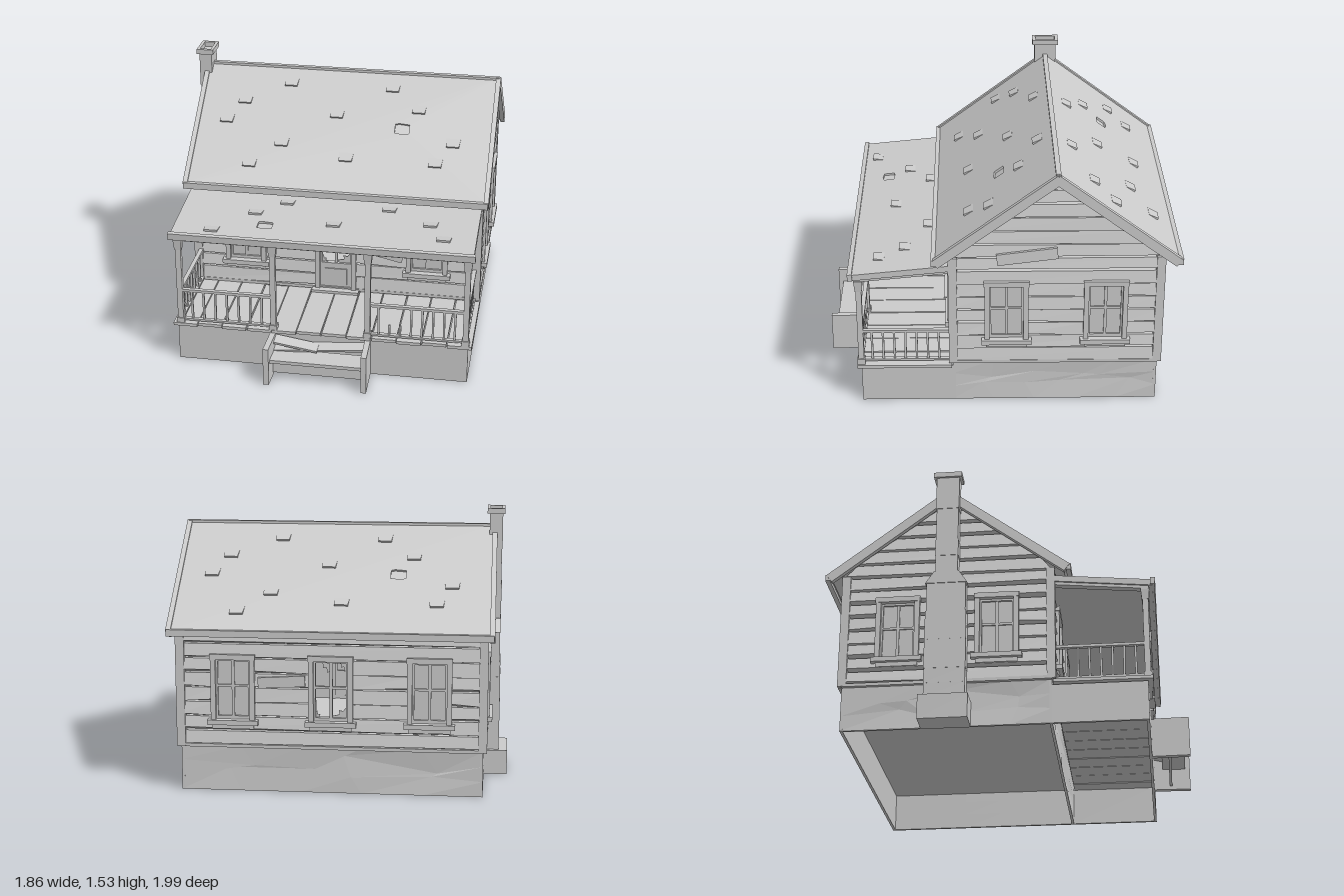
import * as THREE from 'three';

const grey = new THREE.MeshStandardMaterial({ color: 0xcccccc, flatShading: true });
const CX = 0.03, CZ = -0.31, W = 0.835, D = 0.575; // house centre and half sizes
const ROW = 0.082, BASE = 0.26;

let seed = 7;
const rnd = () => (seed = (seed * 16807) % 2147483647) / 2147483647;

function add(parent, name, geo) {
  const m = new THREE.Mesh(geo, grey);
  m.name = name;
  parent.add(m);
  return m;
}
function group(parent, name, x = 0, y = 0, z = 0) {
  const g = new THREE.Group();
  g.name = name;
  g.position.set(x, y, z);
  parent.add(g);
  return g;
}
// Box given by its limits on each axis
function box(parent, name, x0, x1, y0, y1, z0, z1) {
  const m = add(parent, name, new THREE.BoxGeometry(x1 - x0, y1 - y0, z1 - z0));
  m.position.set((x0 + x1) / 2, (y0 + y1) / 2, (z0 + z1) / 2);
  return m;
}
// Box whose vertices are moved by a rule
function shaped(parent, name, rule, segs = [1, 1, 1]) {
  const geo = new THREE.BoxGeometry(2, 2, 2, ...segs), p = geo.attributes.position;
  for (let i = 0; i < p.count; i++) p.setXYZ(i, ...rule(p.getX(i), p.getY(i), p.getZ(i)));
  geo.computeVertexNormals();
  return add(parent, name, geo);
}
const points = list => list.map(q => new THREE.Vector2(...q));

// Weathered clapboard with sloping underside; half(y) limits its ends
function clapboard(wall, u0, u1, y0, y1, half) {
  const lift = [0.003 + rnd() * 0.02, 0.003 + rnd() * 0.02];
  shaped(wall, 'clapboard', (x, y, z) => {
    const v = y > 0 ? y1 : y0 + (z > 0 ? lift[x > 0 ? 1 : 0] : 0);
    const h = half(y > 0 ? y1 : y0);
    const u = Math.max(-h, Math.min(h, x > 0 ? u1 : u0));
    return [u, v, z < 0 ? -0.03 : y > 0 ? 0.004 : 0.018];
  });
}

// Rows of boards, interrupted by openings {u, door}
function siding(wall, rows, half, top, openings) {
  for (let r = 0; r < rows; r++) {
    const y0 = BASE + r * ROW, y1 = Math.min(y0 + ROW, top);
    let start = -half(y0);
    for (const o of openings) {
      if (r > 5 || (r < 2 && !o.door)) continue;
      clapboard(wall, start, o.u - 0.1, y0, y1, half);
      start = o.u + 0.1;
    }
    clapboard(wall, start, half(y0), y0, y1, half);
  }
}

// Jagged leftovers of glass: [x, y, angle, scale] around the opening
function shards(parent, w, y0, y1) {
  const outline = points([[0, 0], [0.07, 0], [0.045, 0.02], [0.05, 0.045], [0.025, 0.04], [0.015, 0.085], [0, 0.07]]);
  const geo = new THREE.ExtrudeGeometry(new THREE.Shape(outline), { depth: 0.006, bevelEnabled: false });
  [[-w, y0, 0, 0.5], [w, y0, Math.PI / 2, 0.95], [w, y1, Math.PI, 0.6], [-0.008, y1, Math.PI, 0.7]].forEach(([x, y, a, s]) => {
    const m = add(parent, 'glassShard', geo);
    m.position.set(x, y, -0.012);
    m.rotation.z = a;
    m.scale.set(s, s, 1);
  });
}

function windowUnit(wall, { u, door, broken }) {
  const g = group(wall, door ? 'door' : 'window', u);
  const y0 = 0.424, y1 = 0.752, bottom = door ? 0.25 : 0.395;
  for (const s of [-1, 1]) {
    box(g, 'casing', s * 0.108 - 0.014, s * 0.108 + 0.014, bottom, 0.765, -0.035, 0.03);
    box(g, 'stile', s * 0.09 - 0.006, s * 0.09 + 0.006, y0, y1, -0.025, 0.006);
  }
  box(g, 'header', -0.125, 0.125, 0.75, 0.78, -0.035, 0.034);
  box(g, 'topRail', -0.096, 0.096, 0.738, 0.752, -0.025, 0.006);
  box(g, 'mullion', -0.008, 0.008, y0, y1, -0.02, 0.002);
  box(g, 'glazingBar', -0.085, 0.085, 0.592, 0.605, -0.02, 0.002);
  if (broken) shards(g, 0.085, y0, 0.74);
  else box(g, 'pane', -0.085, 0.085, y0, y1, -0.014, -0.006);
  if (door) {
    box(g, 'doorLeaf', -0.096, 0.096, 0.25, 0.425, -0.025, 0.008);
    box(g, 'doorPanel', -0.065, 0.065, 0.285, 0.39, 0.008, 0.015);
    box(g, 'threshold', -0.14, 0.14, 0.245, 0.262, -0.03, 0.06);
  } else {
    box(g, 'sill', -0.14, 0.14, 0.385, 0.412, -0.035, 0.045);
    box(g, 'apron', -0.115, 0.115, 0.36, 0.385, -0.02, 0.025);
    box(g, 'bottomRail', -0.096, 0.096, 0.412, 0.43, -0.025, 0.006);
  }
}

// One side of the house: foundation, siding, windows
function wallSide(house, name, angle, half, dist, gable, openings) {
  const g = group(house, name, CX, 0, CZ);
  g.rotation.y = angle;
  const wall = group(g, 'wall', 0, 0, dist);
  const limit = gable ? y => Math.max(0, Math.min(half, (1.39 - y) / 0.754)) : () => half;
  siding(wall, gable ? 14 : 9, limit, gable ? 1.388 : 0.935, openings);
  openings.forEach(o => windowUnit(wall, o));
  shaped(wall, 'foundation', (x, y, z) => {
    const inner = Math.abs(x) < 0.99 && Math.abs(y) < 0.99 && z > 0;
    return [x * half + (inner ? (rnd() - 0.5) * 0.2 : 0), 0.129 + y * 0.129 + (inner ? (rnd() - 0.5) * 0.1 : 0),
      z > 0 ? -(inner ? rnd() * 0.014 : 0) : -0.016];
  }, [5, 3, 1]);
  box(wall, 'skirtBoard', -half, half, 0.252, 0.27, -0.03, 0.02);
  return wall;
}

// Sloping slab: origin at the eave, y up the slope, z out of the roof
function roofPlane(parent, name, width, length, pitch, tiles, hole) {
  const g = group(parent, name);
  g.rotation.x = pitch - Math.PI / 2;
  const cover = new THREE.Shape(points([[-1, 0], [1, 0], [1, 1], [-1, 1]].map(([x, y]) => [x * width / 2, y * length])));
  const gap = [[-0.042, -0.03], [-0.042, 0.03], [-0.02, 0.036], [0.042, 0.03], [0.042, -0.03], [0.01, -0.036]];
  cover.holes.push(new THREE.Path(points(gap.map(([x, y]) => [hole[0] + x, hole[1] + y]))));
  add(g, 'roofCover', new THREE.ExtrudeGeometry(cover, { depth: 0.012, bevelEnabled: false })).position.z = -0.012;
  box(g, 'roofDeck', -width / 2, width / 2, 0, length, -0.035, -0.012);
  for (const [x, y] of tiles) {
    shaped(g, 'shingle', (a, b, c) => [x + a * (b > 0 ? 0.043 : 0.037), y + b * 0.03,
      c < 0 ? -0.005 : b > 0 ? 0.001 : 0.012]);
  }
  return g;
}

function addRoofs(root) {
  const pitch = Math.atan2(0.505, 0.67), len = Math.hypot(0.505, 0.67), c = Math.cos(pitch);
  const front = [[-0.32, -0.22], [0.29, -0.22], [-0.58, -0.11], [0.46, -0.11], [-0.02, -0.06], [-0.67, 0],
    [0.68, 0.06], [-0.32, 0.11], [0.07, 0.17], [0.59, 0.17], [-0.49, 0.23]];
  const back = [[0.55, -0.86], [-0.54, -0.8], [-0.02, -0.8], [0.375, -0.745], [-0.62, -0.69], [0.72, -0.635],
    [0.07, -0.575], [-0.4, -0.52], [0.63, -0.52], [-0.23, -0.41], [0.35, -0.41]];
  [[1, front, [0.375, 0]], [-1, back, [-0.32, -0.63]]].forEach(([s, tiles, hole]) => {
    const side = group(root, s > 0 ? 'frontRoof' : 'backRoof', CX, 0, CZ);
    side.rotation.y = s > 0 ? 0 : Math.PI;
    const eave = group(side, 'slope', 0, 0.925, 0.67);
    const local = ([x, z]) => [s * (x - CX), (0.67 - s * (z - CZ)) / c];
    const g = roofPlane(eave, 'roofPlane', 1.74, len, pitch, tiles.map(local), local(hole));
    for (const e of [-1, 1]) box(g, 'rakeTrim', e * 0.875 - 0.014, e * 0.875 + 0.014, -0.01, len, -0.045, 0.008);
    box(side, 'eaveTrim', -0.885, 0.885, 0.893, 0.93, 0.662, 0.688);
  });
  box(root, 'ridgeCap', CX - 0.88, CX + 0.88, 1.416, 1.434, CZ - 0.014, CZ + 0.014);
  // Porch roof
  const pp = Math.atan2(0.055, 0.56), pc = Math.cos(pp);
  const tiles = [[-0.23, 0.4], [0.36, 0.4], [-0.39, 0.53], [0.61, 0.53], [0.07, 0.6], [0.7, 0.67], [-0.6, 0.74]];
  const local = ([x, z]) => [x - CX, (0.825 - z) / pc];
  const eave = group(root, 'porchRoof', CX, 0.822, 0.825);
  const g = roofPlane(eave, 'porchRoofPlane', 1.7, 0.56, pp, tiles.map(local), local([-0.31, 0.66]));
  box(g, 'porchEaveTrim', -0.86, 0.86, -0.012, 0.014, -0.032, 0.008);
  for (const e of [-1, 1]) box(g, 'porchSideBeam', e * 0.82 - 0.02, e * 0.82 + 0.02, 0.04, 0.55, -0.052, -0.03);
  box(root, 'porchFrontBeam', CX - 0.84, CX + 0.84, 0.77, 0.8, 0.76, 0.8);
}

// Rail run along local x from 0 to len, with the numbered balusters broken off
function railing(porch, x, z, angle, len, broken = []) {
  const g = group(porch, 'railing', x, 0, z);
  g.rotation.y = angle;
  box(g, 'topRail', 0, len, 0.442, 0.458, -0.012, 0.012);
  box(g, 'bottomRail', 0, len, 0.258, 0.27, -0.012, 0.012);
  const n = Math.round(len / 0.065);
  for (let i = 1; i < n; i++) {
    const h = broken.includes(i) ? 0.33 : 0.445, u = i * len / n;
    box(g, 'baluster', u - 0.006, u + 0.006, 0.262, h, -0.006, 0.006).rotation.z = (rnd() - 0.5) * 0.04;
  }
}

function addPorch(root) {
  const p = group(root, 'porch');
  box(p, 'porchBaseFront', CX - 0.835, CX + 0.835, 0, 0.222, 0.764, 0.78);
  for (const s of [-1, 1]) box(p, 'porchBaseSide', CX + s * 0.827 - 0.008, CX + s * 0.827 + 0.008, 0, 0.222, 0.265, 0.764);
  const n = 12, w = 1.72 / n;
  for (let i = 0; i < n; i++) {
    const x = CX - 0.86 + i * w, lift = rnd() * 0.008;
    box(p, 'floorPlank', x + 0.003, x + w - 0.003, 0.222 + lift, 0.24 + lift, 0.27, 0.79 + rnd() * 0.02).rotation.y = (rnd() - 0.5) * 0.012;
  }
  const posts = [-0.785, -0.245, 0.295, 0.85];
  for (const x of posts) {
    box(p, 'post', x - 0.016, x + 0.016, 0.24, 0.78, 0.764, 0.796);
    box(p, 'postBase', x - 0.022, x + 0.022, 0.24, 0.275, 0.758, 0.802);
    shaped(p, 'postCapital', (a, b, c) => [x + a * (b > 0 ? 0.025 : 0.019), 0.745 + b * 0.033, 0.78 + c * (b > 0 ? 0.025 : 0.019)]);
  }
  railing(p, posts[0], 0.78, 0, 0.54);
  railing(p, posts[2], 0.78, 0, 0.555, [2, 3]);
  for (const x of [posts[0], posts[3]]) railing(p, x, 0.78, Math.PI / 2, 0.5);
  // Steps
  for (const x of [-0.245, 0.298]) shaped(p, 'stairSide', (a, b, c) =>
    [x + a * 0.016 + (c > 0 ? Math.sign(x) * 0.006 : 0), b > 0 ? 0.228 : 0, c > 0 ? 0.992 : 0.775]);
  box(p, 'tread', -0.24, 0.295, 0.125, 0.145, 0.83, 0.965);
  box(p, 'riser', -0.24, 0.295, 0.02, 0.125, 0.87, 0.885);
  // Snapped tread: two halves sagging at different angles
  box(p, 'brokenTread', -0.25, 0.29, 0.162, 0.176, 0.785, 0.85).rotation.set(0.25, 0.05, 0.06);
  box(p, 'brokenTread', -0.25, 0.02, 0.178, 0.192, 0.79, 0.86).rotation.set(0.2, -0.06, -0.12);
}

// Stone chimney from stacked, slightly uneven courses
function addChimney(root) {
  const g = group(root, 'chimney', 0, 0, CZ);
  box(g, 'chimneyFoot', -0.937, -0.79, 0, 0.14, -0.135, 0.135);
  const course = (y0, y1, b, t) => {
    const j = rnd() * 0.008;
    shaped(g, 'chimneyCourse', (x, y, z) => [x > 0 ? -0.815 : -0.884 - j, y > 0 ? y1 : y0, z * ((y > 0 ? t : b) + j)]);
  };
  for (let i = 0; i < 8; i++) course(0.14 + i * 0.086, 0.226 + i * 0.086, 0.108, 0.108);
  course(0.828, 0.9, 0.112, 0.064);
  for (let i = 0; i < 6; i++) course(0.9 + i * 0.1, 1 + i * 0.1, 0.06, 0.06);
  const ring = new THREE.Shape(points([[-0.05, -0.08], [0.05, -0.08], [0.05, 0.08], [-0.05, 0.08]]));
  ring.holes.push(new THREE.Path(points([[-0.032, -0.06], [-0.032, 0.06], [0.032, 0.06], [0.032, -0.06]])));
  const cap = add(g, 'chimneyCap', new THREE.ExtrudeGeometry(ring, { depth: 0.03, bevelEnabled: false }));
  cap.rotation.x = -Math.PI / 2;
  cap.position.set(-0.852, 1.5, 0);
}

export function createModel() {
  seed = 7;
  const root = new THREE.Group();
  root.name = 'cabin';
  const house = group(root, 'house');
  const sides = [{ u: -0.275 }, { u: 0.275 }];
  const front = wallSide(house, 'frontSide', 0, W, D, false, [{ u: -0.54 }, { u: 0, door: true, broken: true }, { u: 0.54 }]);
  const back = wallSide(house, 'backSide', Math.PI, W, D, false, [{ u: -0.54 }, { u: 0, broken: true }, { u: 0.54 }]);
  const right = wallSide(house, 'gableSide', Math.PI / 2, D, W, true, sides);
  wallSide(house, 'chimneySide', -Math.PI / 2, D, W, true, sides);
  box(house, 'floor', CX - W + 0.01, CX + W - 0.01, 0.225, 0.25, CZ - D + 0.01, CZ + D - 0.01);
  for (const sx of [-1, 1]) for (const sz of [-1, 1]) {
    const x = CX + sx * (W - 0.003), z = CZ + sz * (D - 0.003);
    box(house, 'cornerPost', x - 0.024, x + 0.024, 0.255, 0.925, z - 0.024, z + 0.024);
  }
  // Loose boards
  box(front, 'looseBoard', 0.14, 0.4, 0.495, 0.54, 0.012, 0.026).rotation.z = -0.22;
  box(right, 'looseBoard', -0.33, 0.005, 0.905, 0.97, 0.015, 0.032).rotation.set(-0.06, 0, 0.12);
  box(back, 'looseBoard', -0.4, -0.14, 0.6, 0.66, 0.012, 0.026).rotation.z = 0.06;
  addRoofs(root);
  addPorch(root);
  addChimney(root);
  return root;
}
